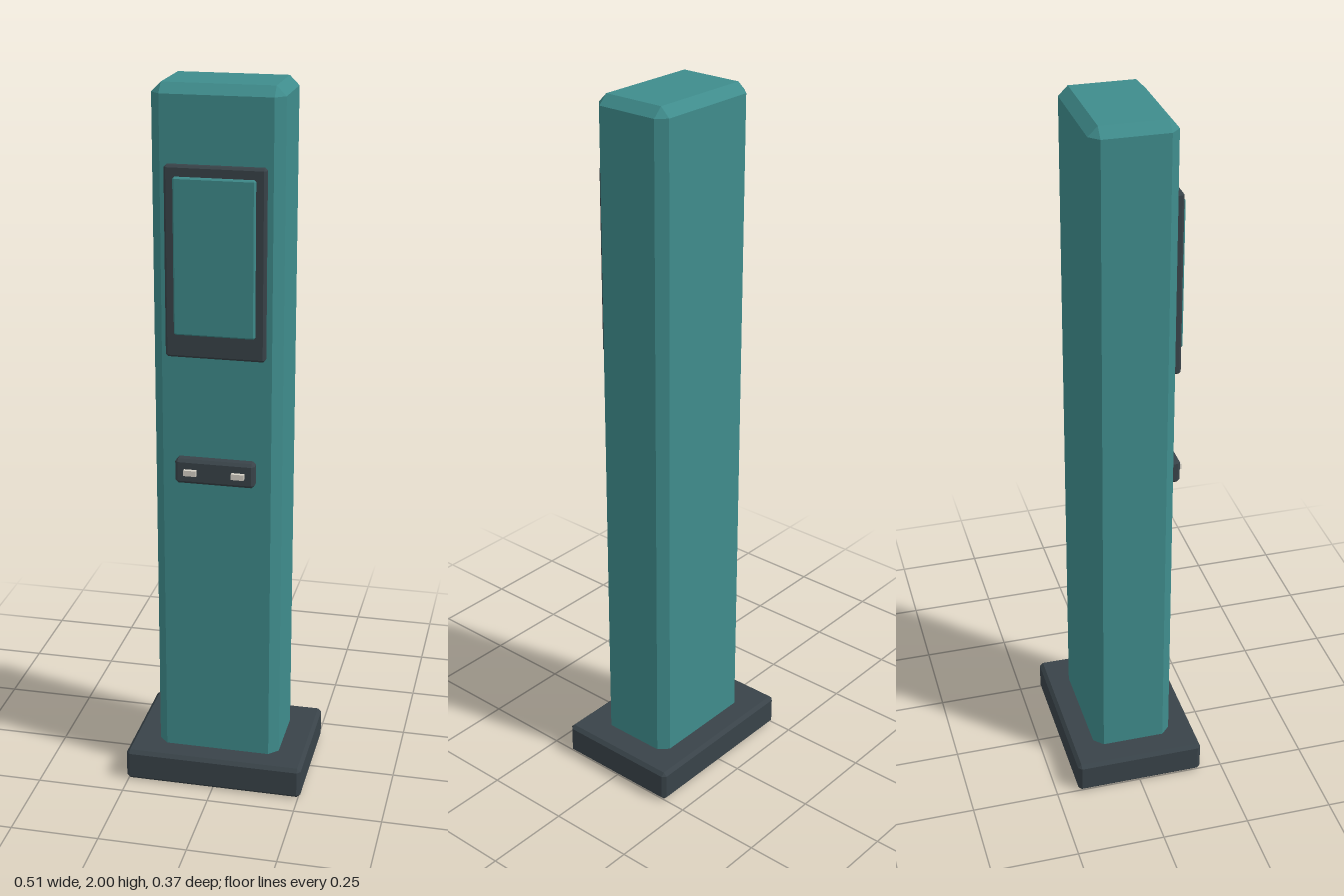
import * as THREE from 'three';
import { ConvexGeometry } from 'three/addons/geometries/ConvexGeometry.js';

// Box with every edge and corner cut at 45 degrees, given by its limits
function chamferBox([x0, x1], [y0, y1], [z0, z1], c) {
  const half = [(x1 - x0) / 2, (y1 - y0) / 2, (z1 - z0) / 2];
  const points = [];
  for (const sx of [-1, 1]) for (const sy of [-1, 1]) for (const sz of [-1, 1]) {
    for (let face = 0; face < 3; face++) {
      const [x, y, z] = half.map((h, axis) => (axis === face ? h : h - c));
      points.push(new THREE.Vector3(sx * x, sy * y, sz * z));
    }
  }
  return new ConvexGeometry(points)
    .translate((x0 + x1) / 2, (y0 + y1) / 2, (z0 + z1) / 2);
}

export function createModel() {
  const group = new THREE.Group();
  group.name = 'informationPillar';

  const material = (name, color) => {
    const m = new THREE.MeshStandardMaterial({ color });
    m.name = name;
    return m;
  };
  const teal = material('teal', 0x3f8c8c);
  const charcoal = material('charcoal', 0x394349);
  const ivory = material('ivory', 0xd8d3c8);

  const add = (name, geometry, mat) => {
    const mesh = new THREE.Mesh(geometry, mat);
    mesh.name = name;
    group.add(mesh);
  };

  // Foot plate and upright column
  add('base', chamferBox([-0.256, 0.256], [0, 0.093], [-0.186, 0.186], 0.01), charcoal);
  add('column', chamferBox([-0.176, 0.176], [0.05, 2], [-0.116, 0.116], 0.026), teal);

  // Display: dark surround with a raised panel
  add('screenFrame', chamferBox([-0.135, 0.135], [1.283, 1.797], [0.112, 0.138], 0.006), charcoal);
  add('screen', chamferBox([-0.109, 0.109], [1.348, 1.768], [0.13, 0.149], 0.004), teal);

  // Control bar with a pair of buttons
  add('controlBar', chamferBox([-0.11, 0.11], [0.927, 0.997], [0.112, 0.15], 0.008), charcoal);
  for (const [name, side] of [['rightButton', -1], ['leftButton', 1]]) {
    const button = new THREE.BoxGeometry(0.035, 0.016, 0.018);
    add(name, button.translate(side * 0.066, 0.962, 0.152), ivory);
  }

  return group;
}
